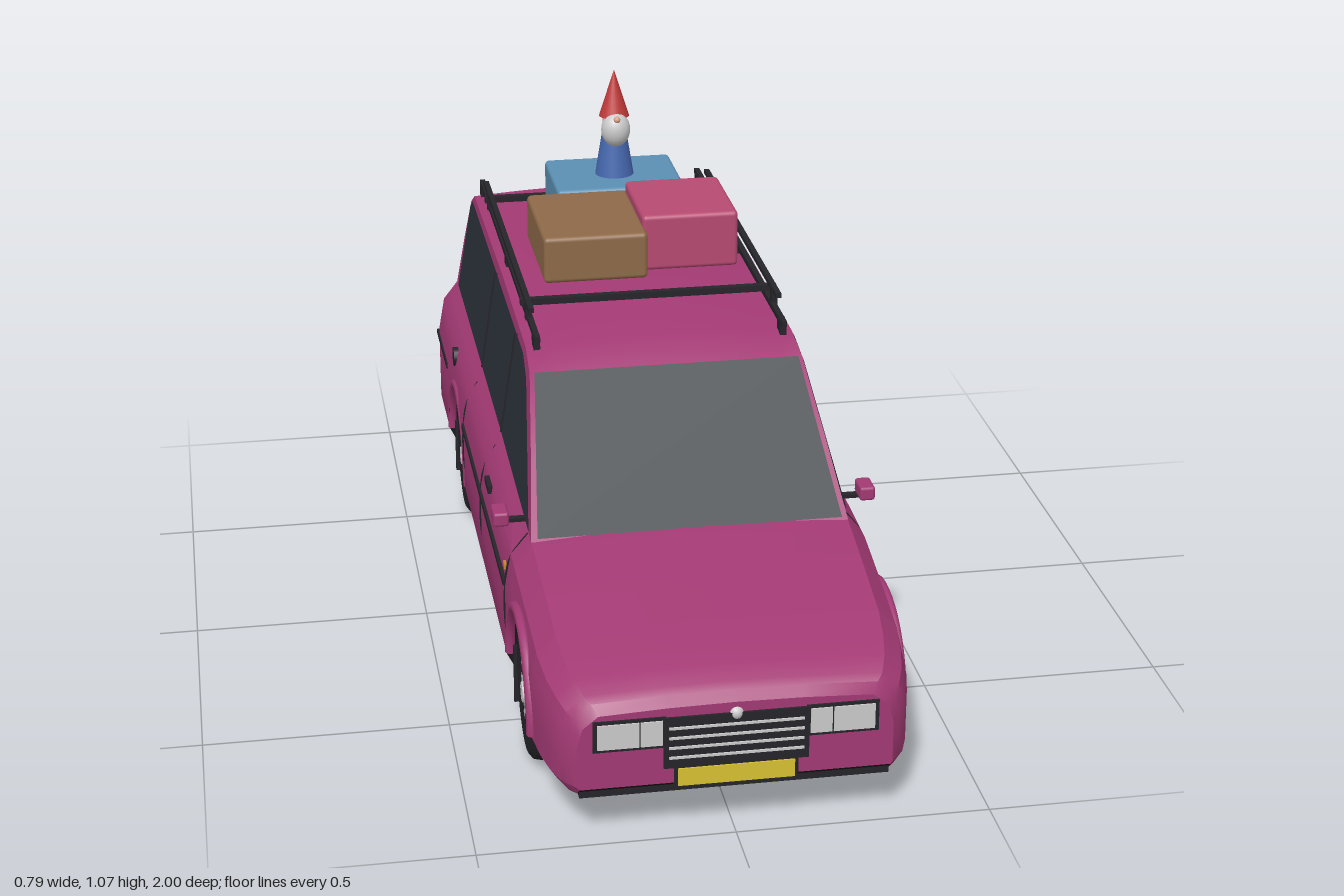
import * as THREE from 'three';
import { toCreasedNormals } from 'three/addons/utils/BufferGeometryUtils.js';
import { RoundedBoxGeometry } from 'three/addons/geometries/RoundedBoxGeometry.js';

const mat = (color, side = THREE.FrontSide) => new THREE.MeshStandardMaterial({ color, side });
const paint = mat(0xa33a74, THREE.DoubleSide), glass = mat(0x2a3138, THREE.DoubleSide);
const black = mat(0x1b1b1d, THREE.DoubleSide), trim = mat(0x25252a), chrome = mat(0xcccccc);
const yellow = mat(0xd9c232), red = mat(0x8c0f14), amber = mat(0xc98428);
const WHEELS = [0.635, -0.525], HUB_Y = 0.138, ARCH = 0.165;

// Piecewise linear lookup in a table of [key, value], keys ascending
function look(table, v) {
  for (let i = 1; i < table.length; i++) {
    const [a, p] = table[i - 1], [b, q] = table[i];
    if (v <= b) return p + (q - p) * Math.max(0, (v - a) / (b - a));
  }
  return table[table.length - 1][1];
}
const deck = z => look([[-0.97, 0.405], [-0.95, 0.42], [0, 0.42], [0.5, 0.4], [0.65, 0.375], [0.8, 0.345], [0.92, 0.315], [0.97, 0.295], [0.99, 0.27]], z);
const halfWidth = z => look([[-0.97, 0.355], [-0.95, 0.37], [-0.9, 0.375], [0.5, 0.375], [0.8, 0.367], [0.9, 0.355], [0.96, 0.332], [0.99, 0.305]], z);
const sideX = (y, z) => halfWidth(z) * look([[0, 0.95], [0.12, 1], [0.62, 1], [0.85, 0.965], [1, 0.865]], (y - 0.1) / (deck(z) - 0.1));
const cabinX = y => 0.325 - 0.154 * (y - 0.4);

// Surface through a list of equally long rows of points
function surface(rows) {
  const n = rows[0].length, idx = [];
  for (let j = 0; j < rows.length - 1; j++) for (let i = 0; i < n - 1; i++) {
    const a = j * n + i, b = a + 1, c = a + n, d = c + 1;
    idx.push(a, c, b, b, c, d);
  }
  const g = new THREE.BufferGeometry();
  g.setAttribute('position', new THREE.Float32BufferAttribute(rows.flat(2), 3));
  g.setIndex(idx);
  return toCreasedNormals(g, 0.5);
}

export function createModel() {
  const car = new THREE.Group();
  car.name = 'stationWagon';
  const add = (name, geo, m, x = 0, y = 0, z = 0, parent = car) => {
    const mesh = new THREE.Mesh(geo, m);
    mesh.name = name;
    mesh.position.set(x, y, z);
    parent.add(mesh);
    return mesh;
  };
  const box = (name, w, h, d, m, x, y, z) => add(name, new THREE.BoxGeometry(w, h, d), m, x, y, z);
  const quad = (name, xa, ya, za, xb, yb, zb, m) =>
    add(name, surface([[[-xb, yb, zb], [xb, yb, zb]], [[-xa, ya, za], [xa, ya, za]]]), m);
  const tube = (name, pts, r, m) => add(name, new THREE.TubeGeometry(
    new THREE.CatmullRomCurve3(pts.map(p => new THREE.Vector3(...p))), 12, r, 5), m);

  // Stations along the body, with the lower edge following the wheel arches
  const stations = [0.99, 0.975, 0.96, 0.92, 0.87, 0.3, 0.15, 0, -0.15, -0.8, -0.9, -0.95, -0.97]
    .map(z => ({ z, low: z > 0.98 ? 0.115 : 0.1 }));
  for (const c of WHEELS) {
    for (const s of [1, -1]) stations.push({ z: c + s * (ARCH + 0.001), low: 0.1 });
    for (let i = 0; i <= 16; i++) {
      const a = Math.PI * i / 16;
      stations.push({ z: c + ARCH * Math.cos(a), low: HUB_Y + ARCH * Math.sin(a) });
    }
  }
  stations.sort((a, b) => b.z - a.z);
  const section = ({ z, low }) => {
    const top = deck(z);
    const half = [0, 0.06, 0.12, 0.35, 0.62, 0.74, 0.85, 0.94, 1].map(t => {
      const y = Math.max(low, 0.1 + t * (top - 0.1));
      return [sideX(y, z), y, z];
    });
    half.push([0.5 * half[8][0], top + 0.006, z], [0, top + 0.008, z]);
    return [...half, ...half.slice(0, -1).reverse().map(([x, y, w]) => [-x, y, w])];
  };
  const rows = stations.map(section);
  add('lowerBody', surface(rows), paint);
  for (const [name, row] of [['nosePanel', rows[0]], ['tailPanel', rows[rows.length - 1]]])
    add(name, new THREE.ShapeGeometry(new THREE.Shape(row.map(p => new THREE.Vector2(p[0], p[1])))), paint, 0, 0, row[0][2]);
  add('underbody', surface(rows.map(r => [r[r.length - 1], r[0]])), black);
  box('chinStrip', 0.6, 0.02, 0.02, trim, 0, 0.103, 0.972);

  // Cabin: side profile extruded across, leaning inwards with a slight roof crown
  const outline = [[0.5, 0.4], [0.36, 0.525], [0.21, 0.645], [0.12, 0.667], [-0.3, 0.672], [-0.86, 0.665], [-0.9, 0.64], [-0.93, 0.54], [-0.955, 0.41]];
  const toShape = pts => new THREE.Shape(pts.map(p => new THREE.Vector2(...p)));
  const cabin = new THREE.ExtrudeGeometry(toShape(outline), { depth: 2, steps: 10, bevelEnabled: false });
  const cp = cabin.attributes.position;
  for (let i = 0; i < cp.count; i++) {
    const z = cp.getX(i), y = cp.getY(i), u = 1 - cp.getZ(i);
    cp.setXYZ(i, u * cabinX(y), y + (y > 0.65 ? 0.013 * (1 - u * u) : 0), z);
  }
  add('cabin', toCreasedNormals(cabin, 0.5), paint);
  quad('windscreen', 0.312, 0.407, 0.5, 0.278, 0.648, 0.215, glass);
  quad('rearWindow', 0.29, 0.43, -0.959, 0.26, 0.635, -0.909, glass);

  const windowPts = [[0.475, 0.412], [0.2, 0.63], [0.12, 0.655], [-0.85, 0.655], [-0.88, 0.635], [-0.9, 0.425], [0, 0.422]];
  for (const s of [1, -1]) {
    const side = s > 0 ? 'left' : 'right';
    // Side glazing and its dividers
    const win = new THREE.ShapeGeometry(toShape(windowPts)), wp = win.attributes.position;
    for (let i = 0; i < wp.count; i++) {
      const z = wp.getX(i), y = wp.getY(i);
      wp.setXYZ(i, s * (cabinX(y) + 0.004), y, z);
    }
    win.computeVertexNormals();
    add(side + 'SideGlass', win, glass);
    for (const z of [0, -0.37])
      tube(side + 'WindowDivider', [0.425, 0.54, 0.652].map(y => [s * (cabinX(y) + 0.003), y, z]), 0.005, trim);
    // Door seams, rubbing strips, handle, indicator
    for (const z of [0.455, 0.01, -0.345])
      tube(side + 'DoorSeam', [0.11, 0.2, 0.29, 0.35, 0.4].map(y => [s * sideX(y, z), y, z]), 0.0022, trim);
    box(side + 'DoorStrip', 0.012, 0.012, 0.8, trim, s * 0.374, 0.295, 0.06);
    box(side + 'RearStrip', 0.012, 0.012, 0.23, trim, s * 0.372, 0.295, -0.815);
    box(side + 'DoorHandle', 0.016, 0.016, 0.06, trim, s * sideX(0.355, 0), 0.355, 0.115);
    box(side + 'Indicator', 0.01, 0.01, 0.022, amber, s * sideX(0.32, 0.43), 0.32, 0.43);
    // Door mirror
    box(side + 'MirrorArm', 0.075, 0.008, 0.015, trim, s * 0.345, 0.412, 0.41);
    add(side + 'Mirror', new RoundedBoxGeometry(0.032, 0.03, 0.055, 2, 0.006), paint, s * 0.378, 0.428, 0.42);
    // Headlamps
    box(side + 'HeadlampFrame', 0.14, 0.065, 0.01, trim, s * 0.205, 0.227, 0.989);
    box(side + 'HeadlampInner', 0.042, 0.052, 0.012, chrome, s * 0.163, 0.227, 0.991);
    box(side + 'HeadlampOuter', 0.08, 0.052, 0.012, chrome, s * 0.227, 0.227, 0.991);
    // Tail lamps
    box(side + 'TailLampFrame', 0.058, 0.175, 0.01, trim, s * 0.312, 0.28, -0.97);
    [[red, 0.092, 0.317], [amber, 0.036, 0.25], [chrome, 0.032, 0.213]].forEach(([m, h, y]) =>
      box(side + 'TailLamp', 0.048, h, 0.012, m, s * 0.312, y, -0.972));
  }
  const cap = add('fuelCap', new THREE.CylinderGeometry(0.022, 0.022, 0.012, 16), trim, -sideX(0.36, -0.6), 0.36, -0.6);
  cap.rotation.z = Math.PI / 2;

  // Grille, plates and nose knob
  box('grille', 0.28, 0.108, 0.01, trim, 0, 0.203, 0.99);
  for (let i = 0; i < 4; i++) box('grilleBar', 0.26, 0.005, 0.012, chrome, 0, 0.172 + i * 0.021, 0.992);
  add('noseKnob', new THREE.SphereGeometry(0.015, 16, 10), chrome, 0, 0.254, 0.984);
  box('frontPlateFrame', 0.24, 0.048, 0.008, trim, 0, 0.128, 0.99);
  box('frontPlate', 0.226, 0.037, 0.01, yellow, 0, 0.129, 0.992);
  box('rearPlateFrame', 0.24, 0.068, 0.01, trim, 0, 0.23, -0.97);
  box('rearPlate', 0.222, 0.052, 0.012, yellow, 0, 0.23, -0.972);

  // Exhaust pipe and tow eye
  for (const [name, x, y, r] of [['exhaustPipe', -0.19, 0.11, 0.014], ['towEye', 0.125, 0.125, 0.008]])
    add(name, new THREE.CylinderGeometry(r, r, 0.1, 14), chrome, x, y, -0.95).rotation.x = Math.PI / 2;

  // Wheels, arch lips and mud flaps
  const tyreProfile = [[0.085, -0.042], [0.122, -0.045], [0.134, -0.036], [0.138, -0.02], [0.134, -0.016], [0.138, -0.012], [0.138, -0.002], [0.134, 0],
    [0.138, 0.002], [0.138, 0.012], [0.134, 0.016], [0.138, 0.02], [0.134, 0.036], [0.122, 0.045], [0.085, 0.042], [0.085, -0.042]];
  const tyreGeo = toCreasedNormals(new THREE.LatheGeometry(tyreProfile.map(p => new THREE.Vector2(...p)), 32), 0.6);
  for (const c of WHEELS) for (const s of [1, -1]) {
    const wheel = new THREE.Group();
    wheel.name = 'wheel';
    wheel.position.set(s * 0.315, HUB_Y, c);
    wheel.rotation.z = -s * Math.PI / 2;
    car.add(wheel);
    add('tyre', tyreGeo, trim, 0, 0, 0, wheel);
    add('hubcap', new THREE.CylinderGeometry(0.078, 0.088, 0.082, 28), chrome, 0, 0.001, 0, wheel);
    add('hubCentre', new THREE.CylinderGeometry(0.02, 0.026, 0.01, 20), chrome, 0, 0.046, 0, wheel);
    for (let i = 0; i < 10; i++) {
      const a = i * Math.PI / 5;
      const slot = add('hubSlot', new THREE.BoxGeometry(0.02, 0.004, 0.011), trim, 0.063 * Math.cos(a), 0.042, 0.063 * Math.sin(a), wheel);
      slot.rotation.y = -a;
    }
    const lip = add('archLip', new THREE.TorusGeometry(ARCH + 0.007, 0.011, 8, 28, Math.PI), paint, s * 0.367, HUB_Y, c);
    lip.rotation.y = Math.PI / 2;
    box('mudFlap', 0.1, 0.13, 0.005, trim, s * 0.313, 0.095, c - 0.157);
  }

  // Roof rails, load bars and posts
  for (const s of [1, -1]) {
    box('roofRail', 0.012, 0.012, 1.03, trim, s * 0.262, 0.692, -0.37);
    box('upperRail', 0.012, 0.01, 0.84, trim, s * 0.265, 0.728, -0.35);
    for (const z of [0.12, -0.36, -0.86]) box('railFoot', 0.014, 0.03, 0.03, trim, s * 0.262, 0.679, z);
    for (const z of [0.02, -0.69]) box('rackPost', 0.014, 0.04, 0.016, trim, s * 0.265, 0.71, z);
  }
  for (const z of [-0.02, -0.69]) box('loadBar', 0.555, 0.014, 0.016, trim, 0, 0.715, z);

  // Luggage
  const bag = (name, color, x0, x1, y1, z0, z1) => add(name, new RoundedBoxGeometry(x1 - x0, y1 - 0.737, z1 - z0, 3, 0.01),
    mat(color), (x0 + x1) / 2, (y1 + 0.737) / 2, (z0 + z1) / 2);
  bag('brownSuitcase', 0x8e6a48, -0.22, 0.005, 0.84, -0.35, -0.055);
  bag('pinkSuitcase', 0xb84a72, 0, 0.21, 0.862, -0.345, -0.1);
  bag('blueSuitcase', 0x5c90b4, -0.145, 0.145, 0.83, -0.615, -0.385);

  // Garden gnome on top
  add('gnomeCoat', new THREE.CylinderGeometry(0.026, 0.044, 0.11, 24), mat(0x4668b0), 0, 0.883, -0.497);
  add('gnomeHead', new THREE.SphereGeometry(0.027, 20, 14), mat(0xd9a088), 0, 0.955, -0.497);
  add('gnomeBeard', new THREE.SphereGeometry(0.033, 20, 14), chrome, 0, 0.94, -0.475).scale.set(1, 1.2, 0.95);
  add('gnomeNose', new THREE.SphereGeometry(0.008, 12, 8), mat(0xd9a088), 0, 0.968, -0.455);
  add('gnomeHat', new THREE.ConeGeometry(0.034, 0.107, 24), mat(0xc23a3a), 0, 1.02, -0.497);
  return car;
}
